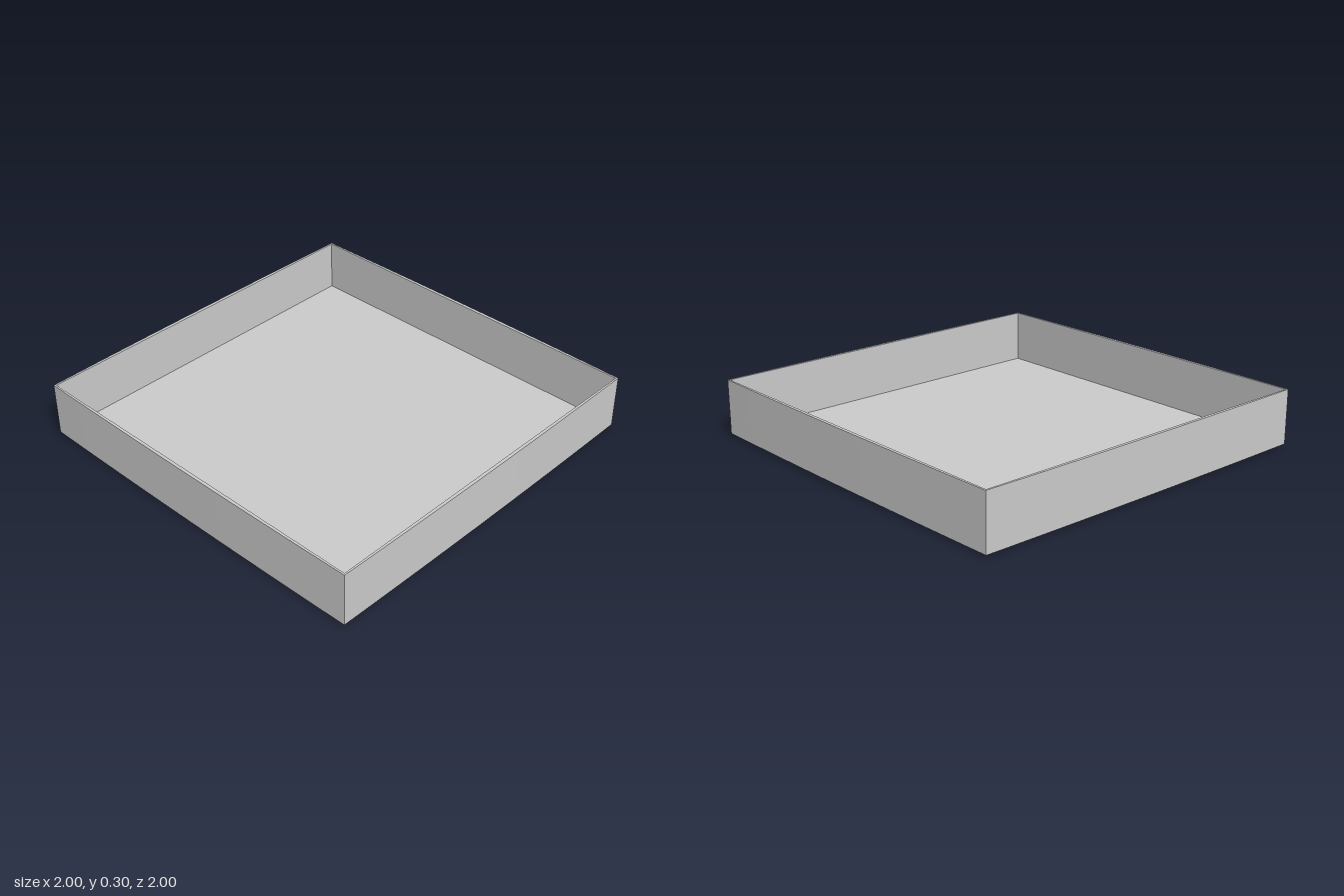
import * as THREE from 'three';
import { toCreasedNormals } from 'three/addons/utils/BufferGeometryUtils.js';

const HEIGHT = 0.3;   // rim height
const EDGE = 0.012;   // underside height at the outer edges
const FLOOR = 0.02;   // height of the inner floor
const CORNER = 0.992; // half width at the corners
const INNER = 0.983;  // half width of the cavity

// Square outline whose sides bow gently outward to half width 1
function bowedSquare(c) {
  const k = 2 - c;
  const s = new THREE.Shape();
  s.moveTo(-c, -c);
  s.quadraticCurveTo(0, -k, c, -c);
  s.quadraticCurveTo(k, 0, c, c);
  s.quadraticCurveTo(0, k, -c, c);
  s.quadraticCurveTo(-k, 0, -c, -c);
  return s;
}

export function createModel() {
  const group = new THREE.Group();
  group.name = 'tray';
  const material = new THREE.MeshStandardMaterial({ color: 0xcccccc });

  // Thin upright walls around a straight-sided cavity
  const outline = bowedSquare(CORNER);
  const hole = new THREE.Path();
  hole.moveTo(-INNER, -INNER);
  hole.lineTo(-INNER, INNER);
  hole.lineTo(INNER, INNER);
  hole.lineTo(INNER, -INNER);
  hole.closePath();
  outline.holes.push(hole);
  const wallGeo = new THREE.ExtrudeGeometry(outline, {
    depth: HEIGHT - EDGE, bevelEnabled: false, curveSegments: 16,
  });
  wallGeo.rotateX(-Math.PI / 2);
  wallGeo.translate(0, EDGE, 0);
  const walls = new THREE.Mesh(toCreasedNormals(wallGeo, 0.5), material);
  walls.name = 'walls';
  group.add(walls);

  // Flat floor with a slightly domed underside
  const floorGeo = new THREE.BoxGeometry(2 * INNER, 1, 2 * INNER, 16, 1, 16);
  const p = floorGeo.attributes.position;
  for (let i = 0; i < p.count; i++) {
    const u = p.getX(i) / INNER, v = p.getZ(i) / INNER;
    const dome = EDGE * (1 - u * u) * (1 - v * v);
    p.setY(i, p.getY(i) > 0 ? FLOOR : EDGE - dome);
  }
  floorGeo.computeVertexNormals();
  const floor = new THREE.Mesh(floorGeo, material);
  floor.name = 'floor';
  group.add(floor);

  return group;
}
